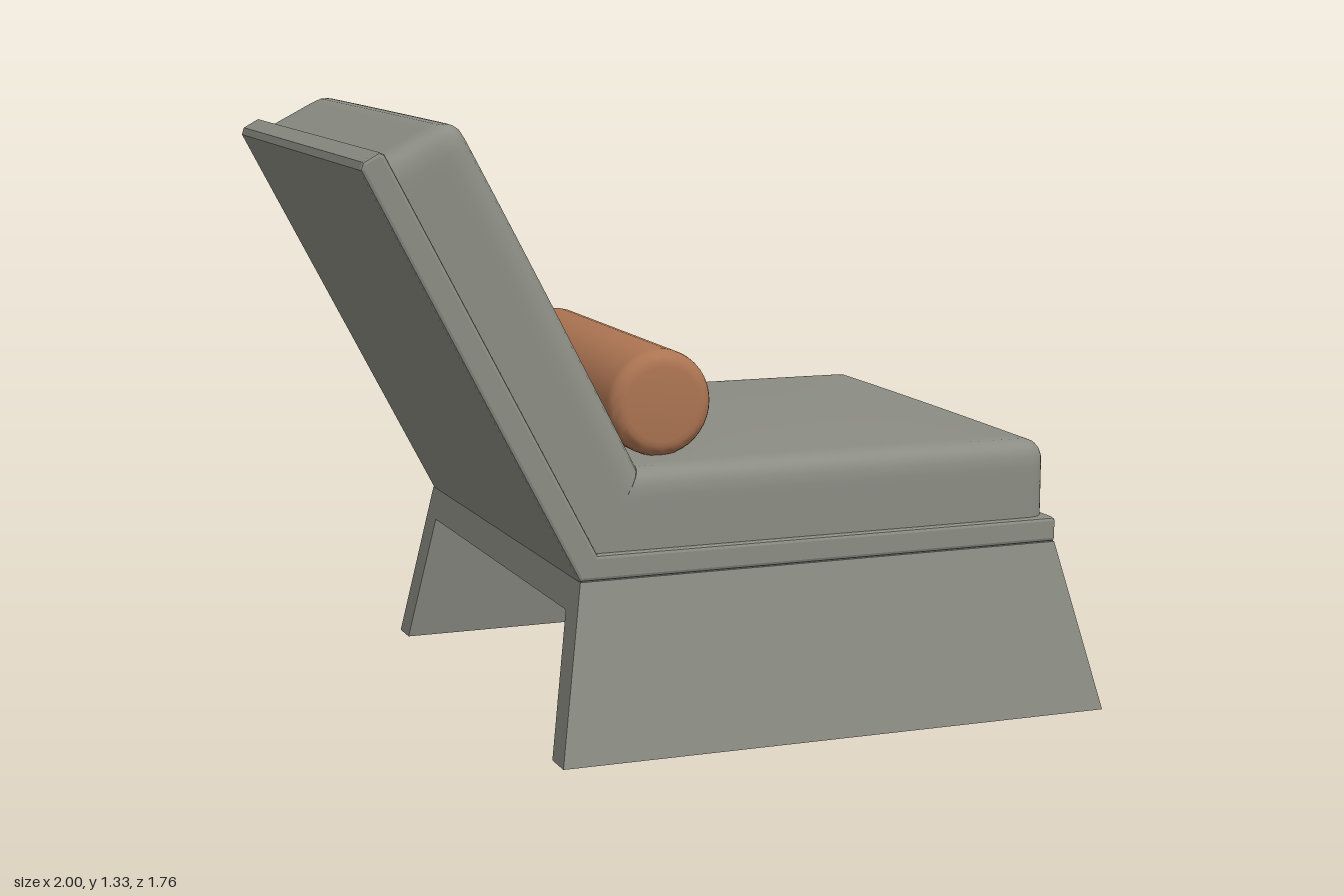
import * as THREE from 'three';
import { toCreasedNormals } from 'three/addons/utils/BufferGeometryUtils.js';

const HALF_WIDTH = 0.548;              // half width of the seat shell
const YAW = 0.433;                     // the chair stands turned on the spot
const RECLINE = THREE.MathUtils.degToRad(117.6);
const JOINT = [-0.365, 0.43];          // where seat and back meet, inside the shell

// Move every vertex by a rule
function deform(geo, rule) {
  const p = geo.attributes.position, v = new THREE.Vector3();
  for (let i = 0; i < p.count; i++) {
    rule(v.fromBufferAttribute(p, i));
    p.setXYZ(i, v.x, v.y, v.z);
  }
  return geo;
}

function polygon(points) {
  return new THREE.Shape(points.map(([x, y]) => new THREE.Vector2(x, y)));
}

// Cushion lying along +x from its mitred joint end, soft on its other edges
function cushion(length, height, halfWidth, r, crown) {
  const geo = new THREE.BoxGeometry(2, 2, 2, 24, 10, 24);
  const ease = t => Math.sin(t * Math.PI / 2);
  const mitre = 1 / Math.tan(RECLINE / 2);
  const inner = new THREE.Vector3();
  deform(geo, v => {
    v.set((ease(v.x) + 1) / 2 * length, (ease(v.y) + 1) / 2 * height, ease(v.z) * halfWidth);
    inner.set(
      Math.min(v.x, length - r),
      Math.min(v.y, height - r),
      THREE.MathUtils.clamp(v.z, -halfWidth + r, halfWidth - r));
    v.sub(inner);
    if (v.length() > 1e-6) v.setLength(r);
    v.add(inner);
    const u = v.x / length, w = v.z / halfWidth;
    v.y += crown * (v.y / height) * Math.max(0, 4 * u * (1 - u)) * (1 - w * w);
    v.x += v.y * mitre * (1 - u);
  });
  return geo;
}

// Inverted U, flaring outwards on all sides towards the floor
function baseGeometry() {
  const shape = polygon([
    [-0.628, 0], [-0.556, 0], [-0.489, 0.305], [0.489, 0.305],
    [0.556, 0], [0.628, 0], [HALF_WIDTH, 0.375], [-HALF_WIDTH, 0.375]]);
  const geo = new THREE.ExtrudeGeometry(shape, { depth: 1, bevelEnabled: false });
  geo.rotateY(Math.PI / 2);
  deform(geo, v => {
    const h = v.y / 0.375;
    const back = THREE.MathUtils.lerp(-0.472, -0.405, h);
    const front = THREE.MathUtils.lerp(0.802, 0.715, h);
    v.x = THREE.MathUtils.lerp(back, front, v.x);
  });
  geo.computeVertexNormals();
  return geo;
}

// Bent plate carrying seat and back
function shellGeometry() {
  const bevel = 0.008;
  const shape = polygon([
    [-0.405, 0.375], [0.715, 0.375], [0.718, 0.383], [0.718, 0.424], [0.711, 0.43],
    JOINT, [-0.81, 1.28], [-0.822, 1.285], [-0.856, 1.266], [-0.861, 1.25]]);
  const depth = 2 * (HALF_WIDTH - bevel);
  const geo = new THREE.ExtrudeGeometry(shape, {
    depth, bevelSize: bevel, bevelThickness: bevel, bevelOffset: -bevel, bevelSegments: 2 });
  return geo.translate(0, 0, -depth / 2);
}

// Round bolster with softened ends, along z
function bolsterGeometry(radius, halfLength, r) {
  const profile = [new THREE.Vector2(0, -halfLength)];
  for (const end of [-1, 1]) {
    for (let i = 0; i <= 5; i++) {
      const a = (end < 0 ? i : 5 - i) / 5 * Math.PI / 2;
      profile.push(new THREE.Vector2(
        radius - r + r * Math.sin(a),
        end * (halfLength - r + r * Math.cos(a))));
    }
  }
  profile.push(new THREE.Vector2(0, halfLength));
  return new THREE.LatheGeometry(profile, 40).rotateX(Math.PI / 2);
}

export function createModel() {
  const grey = new THREE.MeshStandardMaterial({ color: 0x8b8c83 });
  grey.name = 'greyUpholstery';
  const tan = new THREE.MeshStandardMaterial({ color: 0xac7452 });
  tan.name = 'tanLeather';

  const chair = new THREE.Group();
  chair.name = 'loungeChair';
  const add = (name, geo, material) => {
    const mesh = new THREE.Mesh(geo, material);
    mesh.name = name;
    chair.add(mesh);
    return mesh;
  };

  add('base', baseGeometry(), grey);
  add('shell', shellGeometry(), grey);

  // Seat and back cushions share one mitred seam
  const seat = cushion(1.07, 0.172, 0.53, 0.045, 0.014).translate(...JOINT, 0);
  add('seatCushion', toCreasedNormals(seat, 0.7), grey);
  const back = cushion(0.95, 0.172, 0.53, 0.05, 0.014)
    .rotateX(Math.PI).rotateZ(RECLINE).translate(...JOINT, 0);
  add('backCushion', toCreasedNormals(back, 0.7), grey);

  const bolster = add('bolster', toCreasedNormals(bolsterGeometry(0.117, 0.386, 0.035), 0.7), tan);
  bolster.position.set(-0.168, 0.717, 0.03);

  chair.position.set(0.02 * Math.sin(YAW), 0, 0.02 * Math.cos(YAW));
  chair.rotation.y = YAW;

  const model = new THREE.Group();
  model.name = 'chairModel';
  model.add(chair);
  return model;
}
